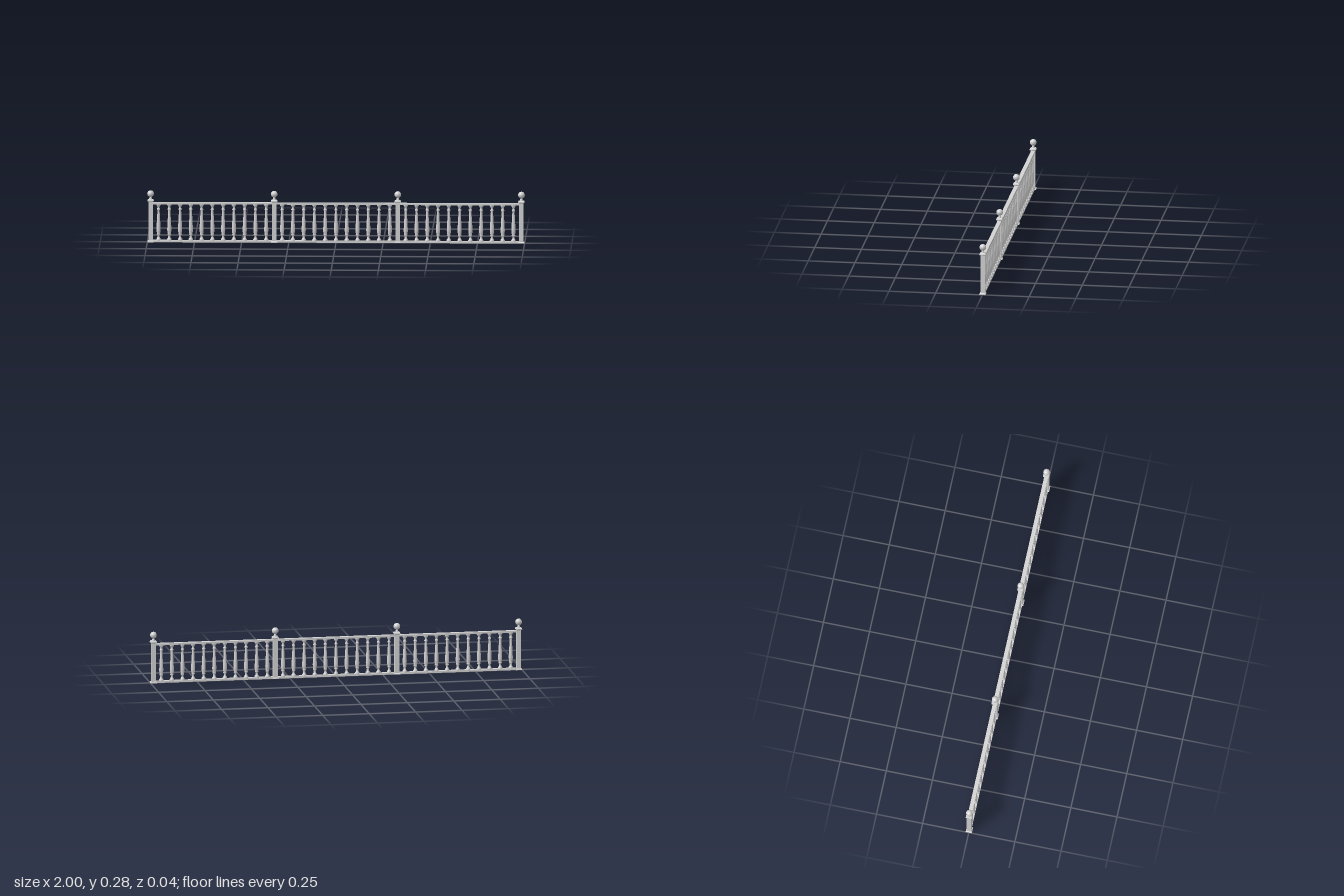
import * as THREE from 'three';

const stone = new THREE.MeshStandardMaterial({ color: 0xd2d2d2 });
stone.name = 'pale grey stone';

function part(name, geometry, x = 0, y = 0, z = 0) {
  const mesh = new THREE.Mesh(geometry, stone);
  mesh.name = name;
  mesh.position.set(x, y, z);
  return mesh;
}

const lathe = (points, sides, start = 0) =>
  new THREE.LatheGeometry(points.map(([r, y]) => new THREE.Vector2(r, y)), sides, start);

// Square section turned from [halfWidth, y] points, with flat faces
function squareLoft(points) {
  const corners = points.map(([r, y]) => [r * Math.SQRT2, y]);
  const flat = lathe(corners, 4, Math.PI / 4).toNonIndexed();
  flat.computeVertexNormals();
  return flat;
}

export function createModel() {
  const group = new THREE.Group();
  group.name = 'balustrade';

  // Square post with flared foot and moulded cap
  const postGeometry = squareLoft([
    [0, 0], [0.017, 0], [0.017, 0.004], [0.012, 0.008],
    [0.012, 0.215], [0.017, 0.219], [0.017, 0.223], [0.0135, 0.228], [0, 0.228],
  ]);
  const neckGeometry = lathe([[0.009, 0.227], [0.0085, 0.23], [0.006, 0.238], [0.005, 0.243]], 16);
  const ballGeometry = new THREE.SphereGeometry(0.0178, 24, 16);

  // Turned baluster: round foot, waist, full belly, long taper and collar
  const balusterGeometry = lathe([
    [0.0118, 0.008], [0.0118, 0.017], [0.0085, 0.02], [0.006, 0.027],
    [0.0055, 0.036], [0.0095, 0.039], [0.0095, 0.043], [0.008, 0.046],
    [0.0105, 0.056], [0.0112, 0.068], [0.0102, 0.09], [0.0085, 0.12],
    [0.0068, 0.15], [0.006, 0.17], [0.009, 0.173], [0.009, 0.178],
    [0.006, 0.181], [0.006, 0.188], [0.0095, 0.195], [0.0118, 0.198], [0.0118, 0.205],
  ], 12);

  const pitch = 0.983 * 2 / 3;
  for (let i = 0; i < 4; i++) {
    const post = new THREE.Group();
    post.name = 'post';
    post.position.x = -0.983 + i * pitch;
    post.add(
      part('postShaft', postGeometry),
      part('finialNeck', neckGeometry),
      part('finialBall', ballGeometry, 0, 0.2582, 0),
    );
    group.add(post);
  }

  // Rails and balusters of each bay
  const railGeometry = new THREE.BoxGeometry(pitch - 0.022, 0.01, 0.021);
  for (let bay = 0; bay < 3; bay++) {
    const centre = (bay - 1) * pitch;
    group.add(
      part('bottomRail', railGeometry, centre, 0.005, 0),
      part('topRail', railGeometry, centre, 0.208, 0),
    );
    for (let i = -5; i <= 5; i++) {
      group.add(part('baluster', balusterGeometry, centre + i * 0.0571));
    }
  }
  return group;
}
